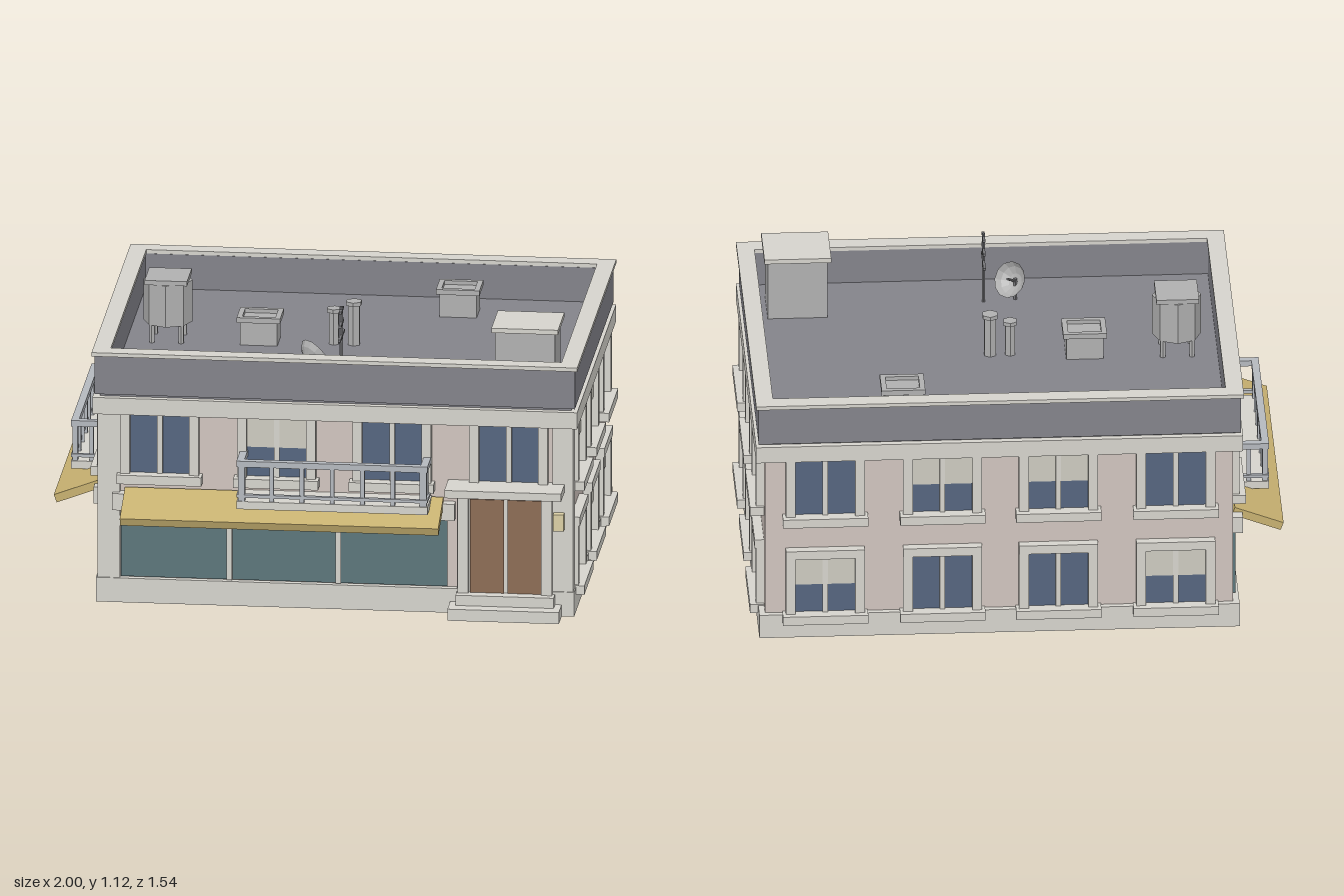
import * as THREE from 'three';

const mat = (color) => new THREE.MeshStandardMaterial({ color, flatShading: true, side: THREE.DoubleSide });
const M = {
  wall: mat(0xd0c4be), trim: mat(0xd5d3cc), dark: mat(0x83838a), glass: mat(0x55657f), shop: mat(0x5b757a),
  door: mat(0x8c6c55), awning: mat(0xc6b070), blind: mat(0xcccabf), rail: mat(0xb4b8be), grey: mat(0xb0b0b0),
  lamp: mat(0xdacfa4), metal: mat(0x77777a),
};

function add(parent, name, geo, m, x = 0, y = 0, z = 0) {
  const mesh = new THREE.Mesh(geo, m);
  mesh.name = name;
  mesh.position.set(x, y, z);
  parent.add(mesh);
  return mesh;
}

// Box given by its limits on each axis
function box(parent, name, m, x0, x1, y0, y1, z0, z1) {
  return add(parent, name, new THREE.BoxGeometry(x1 - x0, y1 - y0, z1 - z0), m,
    (x0 + x1) / 2, (y0 + y1) / 2, (z0 + z1) / 2);
}

function cyl(parent, name, m, x, z, r, y0, y1, sides) {
  return add(parent, name, new THREE.CylinderGeometry(r, r, y1 - y0, sides), m, x, (y0 + y1) / 2, z);
}

function group(parent, name, x = 0, y = 0, z = 0, rotY = 0) {
  const g = new THREE.Group();
  g.name = name;
  g.position.set(x, y, z);
  g.rotation.y = rotY;
  parent.add(g);
  return g;
}

// Rectangular ring of wall thickness t
function ring(parent, name, m, x0, x1, z0, z1, t, y0, y1) {
  const rect = (s, d) => s.moveTo(x0 + d, -z0 - d).lineTo(x1 - d, -z0 - d)
    .lineTo(x1 - d, -z1 + d).lineTo(x0 + d, -z1 + d).closePath();
  const shape = rect(new THREE.Shape(), 0);
  shape.holes.push(rect(new THREE.Path(), t));
  const geo = new THREE.ExtrudeGeometry(shape, { depth: y1 - y0, bevelEnabled: false });
  geo.rotateX(-Math.PI / 2);
  return add(parent, name, geo, m, 0, y0, 0);
}

// Window on a facade: u is the centre, y the bottom of the glass
function windowUnit(face, u, y, blind, lintel) {
  const g = group(face, 'window', u, y, 0);
  box(g, 'glass', M.glass, -0.118, 0.118, 0, 0.235, -0.01, 0.006);
  for (const s of [-1, 1]) box(g, 'sideFrame', M.trim, s * 0.13 - 0.018, s * 0.13 + 0.018, 0, 0.235, -0.01, 0.03);
  box(g, 'mullion', M.trim, -0.01, 0.01, 0, 0.235, -0.01, 0.016);
  box(g, 'sill', M.trim, -0.16, 0.16, -0.035, 0, -0.01, 0.053);
  if (lintel) box(g, 'lintel', M.trim, -0.148, 0.148, 0.23, 0.265, -0.01, 0.035);
  if (blind) box(g, 'blind', M.blind, -0.112, 0.112, 0.115, 0.233, 0, 0.011);
}

// Shop window band with awning
function shopfront(face, u, w) {
  const g = group(face, 'shopfront', u, 0, 0), h = w / 2;
  box(g, 'shopGlass', M.shop, -h, h, 0.1, 0.37, -0.01, 0.014);
  for (const k of [-1, 1]) {
    box(g, 'shopMullion', M.trim, k * w / 6 - 0.01, k * w / 6 + 0.01, 0.1, 0.37, -0.01, 0.025);
  }
  box(g, 'shopLintel', M.trim, -h - 0.03, h + 0.03, 0.365, 0.43, -0.01, 0.04);
  const a = add(g, 'awning', new THREE.BoxGeometry(w - 0.03, 0.032, 0.195), M.awning, 0, 0.4, 0.098);
  a.rotation.x = 0.36;
}

// Balcony with posts and rails on three sides
function balcony(face, u, w, d) {
  const g = group(face, 'balcony', u, 0, 0), h = w / 2;
  box(g, 'balconyFloor', M.trim, -h, h, 0.42, 0.45, -0.01, d);
  for (const [y0, y1, t] of [[0.585, 0.608, 0.028], [0.465, 0.477, 0.016]]) {
    box(g, 'frontRail', M.rail, -h, h, y0, y1, d - t, d);
    for (const s of [-1, 1]) {
      const c = s * (h - t / 2);
      box(g, 'sideRail', M.rail, c - t / 2, c + t / 2, y0, y1, 0, d - t);
    }
  }
  for (let i = 0; i <= 6; i++) {
    const x = -h + 0.018 + i * (w - 0.036) / 6, t = i % 6 ? 0.008 : 0.013;
    box(g, 'baluster', M.rail, x - t, x + t, 0.45, 0.59, d - 0.024, d - 0.004);
  }
  for (const s of [-1, 1]) {
    const x = s * (h - 0.014);
    box(g, 'sideBaluster', M.rail, x - 0.008, x + 0.008, 0.45, 0.59, d / 2 - 0.008, d / 2 + 0.008);
  }
}

// Entrance with double door, canopy and steps
function entrance(face) {
  const g = group(face, 'entrance');
  box(g, 'doorFrame', M.trim, 0.525, 0.885, 0.05, 0.485, -0.01, 0.025);
  for (const x of [0.575, 0.716]) box(g, 'doorLeaf', M.door, x, x + 0.128, 0.085, 0.45, 0, 0.032);
  for (const x of [0.53, 0.845]) box(g, 'doorJamb', M.trim, x, x + 0.04, 0.085, 0.485, 0, 0.045);
  box(g, 'canopy', M.trim, 0.49, 0.93, 0.485, 0.515, -0.01, 0.14);
  box(g, 'lowerStep', M.trim, 0.5, 0.92, 0, 0.045, 0, 0.125);
  box(g, 'upperStep', M.trim, 0.525, 0.895, 0.045, 0.085, 0, 0.075);
}

// Everything standing on the roof deck
function roofItems(root) {
  const g = group(root, 'roofItems'), Y = 0.83;
  box(g, 'stairHouse', M.grey, 0.655, 0.88, Y, 1.065, 0.265, 0.468);
  box(g, 'stairHouseCap', M.trim, 0.642, 0.893, 1.065, 1.083, 0.253, 0.477);

  const tank = group(g, 'waterTank', -0.635, 0, -0.075);
  cyl(tank, 'tankBody', M.grey, 0, 0, 0.092, 0.9, 1.062, 8);
  box(tank, 'tankLid', M.grey, -0.08, 0.08, 1.062, 1.08, -0.083, 0.083);
  for (const sx of [-1, 1]) for (const sz of [-1, 1]) cyl(tank, 'tankLeg', M.grey, sx * 0.055, sz * 0.055, 0.011, Y, 0.9, 6);

  for (const [x, z] of [[-0.288, -0.077], [0.417, -0.508]]) {
    const unit = group(g, 'airUnit', x, 0, z);
    box(unit, 'unitBody', M.grey, -0.07, 0.07, Y, 0.925, -0.058, 0.058);
    ring(unit, 'unitRim', M.grey, -0.082, 0.082, -0.068, 0.068, 0.02, 0.92, 0.94);
  }
  for (const [x, r, top] of [[-0.01, 0.021, 0.955], [0.065, 0.025, 0.985]]) {
    cyl(g, 'ventPipe', M.grey, x, -0.075, r, Y, top, 6);
    cyl(g, 'ventCap', M.grey, x, -0.075, r + 0.007, top, top + 0.015, 6);
  }
  // Aerial
  cyl(g, 'aerialMast', M.metal, 0.065, 0.366, 0.007, Y, 1.115, 6);
  for (const [y, h] of [[1.1, 0.037], [1.05, 0.052], [1.0, 0.072]]) {
    box(g, 'aerialBar', M.metal, 0.06, 0.07, y - 0.005, y + 0.005, 0.366 - h, 0.366 + h);
  }
  // Dish opening along its local +y, then tilted
  cyl(g, 'dishPost', M.metal, -0.055, 0.38, 0.008, Y, 0.915, 6);
  const dish = group(g, 'dish', -0.06, 0.9, 0.385);
  const bowl = [[0, 0], [0.03, 0.008], [0.055, 0.024], [0.07, 0.045]].map(([r, y]) => new THREE.Vector2(r, y));
  add(dish, 'dishBowl', new THREE.LatheGeometry(bowl, 12), M.grey);
  cyl(dish, 'dishFeed', M.metal, 0, 0, 0.005, 0, 0.06, 6);
  dish.quaternion.setFromUnitVectors(new THREE.Vector3(0, 1, 0), new THREE.Vector3(0.6, 0.5, -0.6).normalize());
}

export function createModel() {
  const root = new THREE.Group();
  root.name = 'cornerShopBuilding';

  // Main shell, from the base up to the parapet
  box(root, 'walls', M.wall, -0.81, 0.945, 0.095, 0.8, -0.72, 0.575);
  box(root, 'floor', M.dark, -0.8, 0.935, 0.085, 0.1, -0.71, 0.565);
  ring(root, 'footing', M.wall, -0.81, 0.945, -0.72, 0.575, 0.03, 0, 0.09);
  ring(root, 'plinth', M.trim, -0.835, 0.967, -0.742, 0.6, 0.025, 0, 0.095);
  ring(root, 'cornice', M.trim, -0.847, 0.98, -0.755, 0.615, 0.06, 0.74, 0.805);
  box(root, 'roofDeck', M.dark, -0.82, 0.955, 0.8, 0.83, -0.73, 0.59);
  ring(root, 'parapet', M.dark, -0.84, 0.97, -0.748, 0.603, 0.053, 0.815, 0.965);
  ring(root, 'parapetCap', M.trim, -0.85, 0.98, -0.762, 0.613, 0.066, 0.965, 0.98);
  box(root, 'leftPilaster', M.trim, -0.83, -0.745, 0.09, 0.745, 0.52, 0.595);
  box(root, 'rightPilaster', M.trim, 0.885, 0.963, 0.09, 0.745, 0.528, 0.595);
  box(root, 'wallLamp', M.lamp, 0.89, 0.93, 0.34, 0.405, 0.58, 0.625);

  const front = group(root, 'frontFace', 0, 0, 0.575);
  const back = group(root, 'backFace', 0, 0, -0.72, Math.PI);
  const right = group(root, 'eastFace', 0.945, 0, 0, Math.PI / 2);
  const left = group(root, 'westFace', -0.81, 0, 0, -Math.PI / 2);

  // Windows: four columns front and back, three on each side
  const cols = [-0.595, -0.155, 0.28, 0.72], sides = [0.37, -0.065, -0.5];
  cols.forEach((x, i) => {
    windowUnit(front, x, 0.507, i === 1, false);
    windowUnit(back, -x, 0.507, i === 1 || i === 2, false);
    windowUnit(back, -x, 0.1, i === 0 || i === 3, true);
  });
  sides.forEach((z, i) => {
    windowUnit(right, -z, 0.507, i < 2, false);
    windowUnit(right, -z, 0.1, i > 0, true);
    windowUnit(left, z, 0.507, i === 0, false);
  });

  // Street level and balconies
  shopfront(front, -0.127, 1.23);
  shopfront(left, -0.075, 1.17);
  balcony(front, 0.068, 0.72, 0.152);
  balcony(left, -0.075, 0.72, 0.152);
  entrance(front);
  roofItems(root);
  return root;
}
